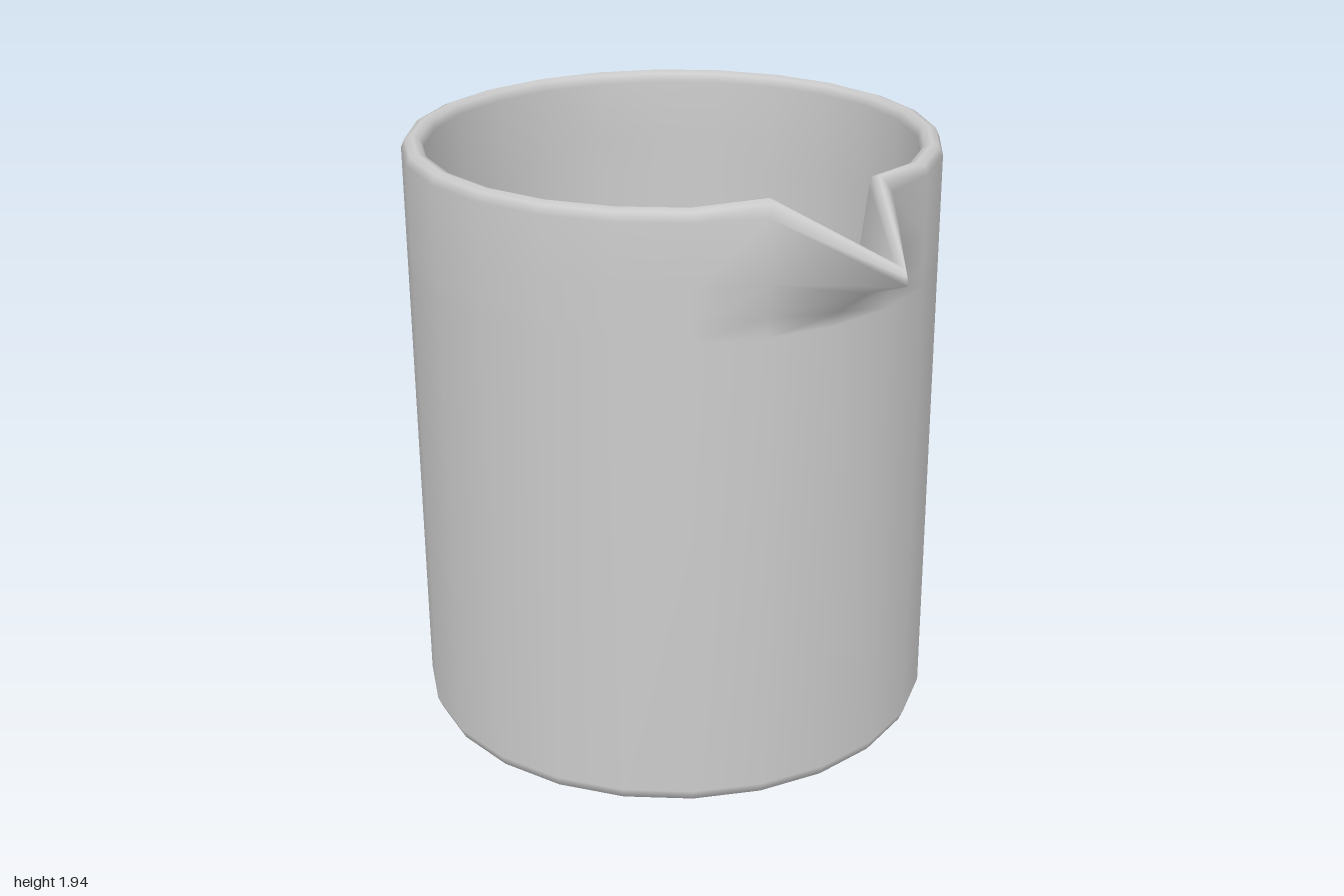
import * as THREE from 'three';

const SIDES = 24;
const CENTRE_Z = -0.155;

// Wall section from the underside centre, up the outside, over the rim, down to the floor centre.
// Each row: radius, height, then optional z and height of the front column (the spout),
// and optional lift for the two columns beside it.
const PROFILE = [
  [0, 0], [0.79, 0], [0.83, 0.01], [0.845, 0.045], [0.845, 1.54],
  [0.845, 1.6, 0.71, 1.59],
  [0.845, 1.7, 0.83, 1.68],
  [0.845, 1.895, 1.0, 1.75],
  [0.833, 1.922, 1.0, 1.775, 0.01],
  [0.81, 1.93, 0.995, 1.79, 0.012],
  [0.787, 1.922, 0.975, 1.8, 0.014],
  [0.775, 1.895, 0.95, 1.785, 0.01],
  [0.775, 1.7, 0.77, 1.7],
  [0.775, 1.58], [0.775, 0.17], [0.75, 0.11], [0.69, 0.075], [0.6, 0.07], [0, 0.07],
];

function wallGeometry() {
  const positions = [];
  const index = [];
  for (const [r, y, spoutZ, spoutY, lift = 0] of PROFILE) {
    for (let j = 0; j < SIDES; j++) {
      const a = (j / SIDES) * Math.PI * 2;
      let x = r * Math.sin(a), h = y, z = CENTRE_Z + r * Math.cos(a);
      if (j === 0 && spoutZ !== undefined) {
        z = spoutZ;
        h = spoutY;
      } else if ((j === 1 || j === SIDES - 1) && lift) {
        // pinch and raise the rim where the spout starts
        x *= 0.93;
        h += lift;
      }
      positions.push(x, h, z);
    }
  }
  for (let i = 0; i < PROFILE.length - 1; i++) {
    for (let j = 0; j < SIDES; j++) {
      const k = (j + 1) % SIDES;
      const a = i * SIDES + j, b = i * SIDES + k;
      const c = b + SIDES, d = a + SIDES;
      // mirrored diagonals keep the spout symmetric
      if (j < SIDES / 2) index.push(a, b, d, b, c, d);
      else index.push(a, b, c, a, c, d);
    }
  }
  const geometry = new THREE.BufferGeometry();
  geometry.setAttribute('position', new THREE.Float32BufferAttribute(positions, 3));
  geometry.setIndex(index);
  geometry.computeVertexNormals();
  return geometry;
}

export function createModel() {
  const group = new THREE.Group();
  group.name = 'pouringBeaker';
  // one continuous wall with floor, rounded rim and pinched spout
  const material = new THREE.MeshStandardMaterial({ color: 0xcccccc });
  const body = new THREE.Mesh(wallGeometry(), material);
  body.name = 'beakerWithSpout';
  group.add(body);
  return group;
}
